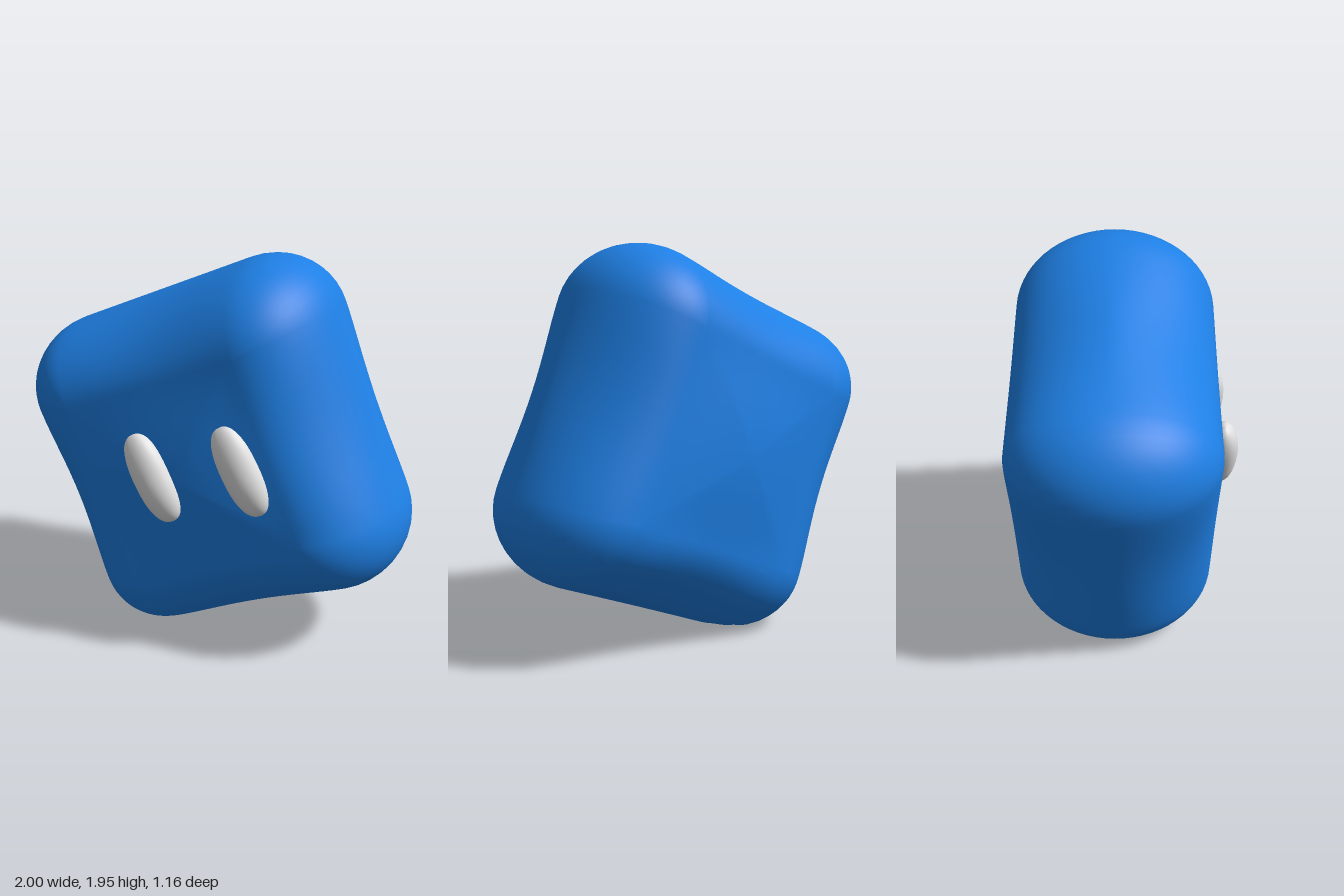
import * as THREE from 'three';
import { mergeVertices } from 'three/addons/utils/BufferGeometryUtils.js';

const HALF = 0.5;                     // square that carries the rounding
const ROUND = 0.35;                   // corner radius of the outline
const FACE = 0.92;                    // face size relative to that square
const RIM_Z = 0.4975, CENTER_Z = 0.5425;
const TILT = THREE.MathUtils.degToRad(22);

// Outline stations on a unit square: inner point, outward angle, rim softness (most at mid-edge)
function outline() {
  const points = [], edge = 16, arc = 10;
  const corners = [[1, -1], [1, 1], [-1, 1], [-1, -1]];
  corners.forEach(([x, y], side) => {
    const [nx, ny] = corners[(side + 1) % 4];
    const base = side * Math.PI / 2;
    for (let i = 0; i < edge; i++) {
      const k = i / edge, mid = (1 - (2 * k - 1) ** 2) ** 2;
      points.push({ x: x + (nx - x) * k, y: y + (ny - y) * k, a: base, power: 1 + 0.15 * mid });
    }
    for (let i = 0; i < arc; i++) {
      points.push({ x: nx, y: ny, a: base + (i / arc) * Math.PI / 2, power: 1 });
    }
  });
  return points;
}

// Rings run from the front centre, over the rounded rim, to the back centre
function bodyGeometry() {
  const stations = outline(), count = stations.length;
  const faceSteps = 12, rimSteps = 32, rings = [];
  // Gentle swelling of the face with a faint ridge towards each corner
  const faceRing = (s, sign) => stations.map(p => {
    const dome = (1 - (p.x * s) ** 2) * (1 - (p.y * s) ** 2);
    const ridge = 1 - THREE.MathUtils.smoothstep(s, 0, 1);
    const z = THREE.MathUtils.lerp(RIM_Z, CENTER_Z, (dome + ridge) / 2);
    return [p.x * s * HALF * FACE, p.y * s * HALF * FACE, sign * z];
  });

  for (let i = 0; i < faceSteps; i++) rings.push(faceRing(i / faceSteps, 1));
  for (let i = 0; i <= rimSteps; i++) {
    const phi = Math.PI * (0.5 - i / rimSteps);
    rings.push(stations.map(p => {
      const out = Math.max(0, Math.cos(phi)) ** p.power;
      const depth = Math.sign(phi) * Math.abs(Math.sin(phi)) ** p.power;
      const inner = HALF * THREE.MathUtils.lerp(FACE, 1, out);
      return [p.x * inner + Math.cos(p.a) * ROUND * out, p.y * inner + Math.sin(p.a) * ROUND * out, RIM_Z * depth];
    }));
  }
  for (let i = faceSteps - 1; i >= 0; i--) rings.push(faceRing(i / faceSteps, -1));

  // Tilt the block, raise it and flatten the corner it stands on
  const c = Math.cos(TILT), s = Math.sin(TILT), position = [], index = [];
  rings.flat().forEach(([x, y, z]) =>
    position.push(x * c - y * s + 0.003, Math.max(0, x * s + y * c + 0.954), z - 0.0375));
  for (let i = 0; i < rings.length - 1; i++) {
    for (let j = 0; j < count; j++) {
      const k = (j + 1) % count;
      const a = i * count + j, b = a + count, d = i * count + k, e = d + count;
      index.push(a, b, e, a, e, d);
    }
  }
  const geometry = new THREE.BufferGeometry();
  geometry.setAttribute('position', new THREE.Float32BufferAttribute(position, 3));
  geometry.setIndex(index);
  const merged = mergeVertices(geometry, 1e-5);
  merged.computeVertexNormals();
  return merged;
}

// Unit sphere with a blunter outline seen from the front
function eyeGeometry() {
  const geometry = new THREE.SphereGeometry(1, 32, 24);
  const p = geometry.attributes.position;
  for (let i = 0; i < p.count; i++) {
    const x = p.getX(i), y = p.getY(i);
    const k = Math.hypot(x, y) / (Math.abs(x) ** 2.4 + Math.abs(y) ** 2.4) ** (1 / 2.4) || 1;
    p.setXY(i, x * k, y * k);
  }
  geometry.computeVertexNormals();
  return geometry;
}

export function createModel() {
  const blue = new THREE.MeshStandardMaterial({ color: 0x1e7fe4 });
  blue.name = 'blue';
  const white = new THREE.MeshStandardMaterial({ color: 0xe0e0e0 });
  white.name = 'white';

  const model = new THREE.Group();
  model.name = 'tiltedBlock';

  const body = new THREE.Mesh(bodyGeometry(), blue);
  body.name = 'body';
  model.add(body);

  // Two slim oval eyes leaning with the block
  const oval = eyeGeometry();
  [['rightEye', -0.119, 0.948, 0.503], ['leftEye', 0.314, 1.04, 0.463]].forEach(([name, x, y, z]) => {
    const eye = new THREE.Mesh(oval, white);
    eye.name = name;
    eye.scale.set(0.097, 0.23, 0.079);
    eye.position.set(x, y, z);
    eye.rotation.z = THREE.MathUtils.degToRad(27);
    model.add(eye);
  });
  return model;
}
